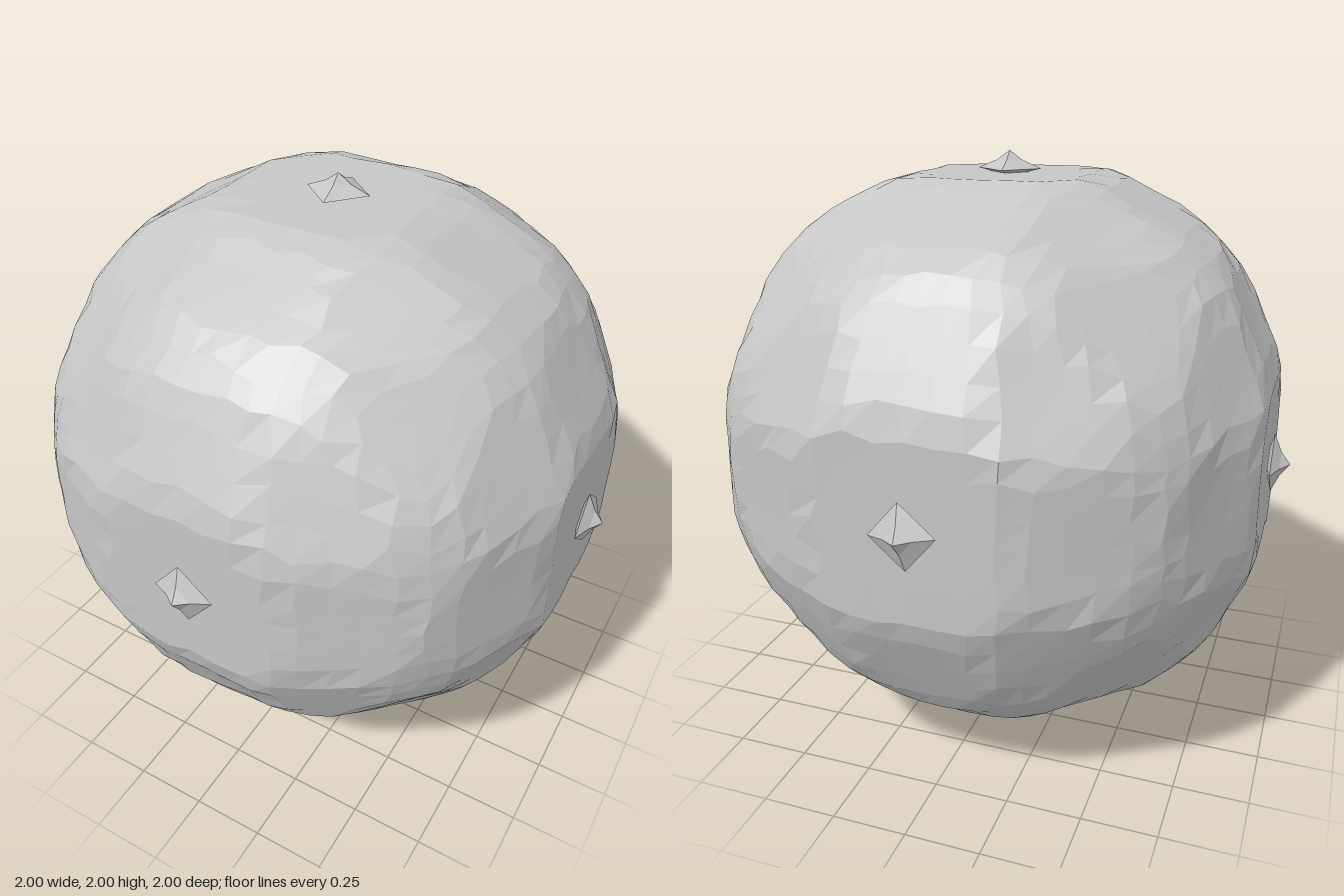
import * as THREE from 'three';

const stone = new THREE.MeshStandardMaterial({ color: 0xc6c6c6, flatShading: true });
stone.name = 'pale grey stone';

// Flat cuts that shape the boulder: six plateaus and the slopes round them.
// A direction is sorted by size first, so one eighth of the cuts serves all sides.
const cuts = [
  [1, 0, 0, 0.93],
  [0.89, 0.455, 0, 0.974],
  [0.83, 0.395, 0.395, 0.985],
  [0.577, 0.577, 0.577, 0.985],
];

function radius(d) {
  const [a, b, c] = [Math.abs(d.x), Math.abs(d.y), Math.abs(d.z)].sort((p, q) => q - p);
  let r = 1.012;
  for (const [x, y, z, dist] of cuts) r = Math.min(r, dist / (x * a + y * b + z * c));
  // small lumps, fading out on the plateaus
  const lumps = Math.sin(9 * d.x + 4 * d.y) + Math.sin(8 * d.y - 5 * d.z + 1) + Math.sin(10 * d.z + 6 * d.x + 2);
  return r + 0.004 * lumps * THREE.MathUtils.smoothstep(1 - a, 0.03, 0.15);
}

// Repeatable scatter from a position, equal on both sides of a seam
function scatter(x, y, z, seed) {
  const s = Math.sin(Math.round(x * 100) * 12.99 + Math.round(y * 100) * 78.23 + Math.round(z * 100) * 37.72 + seed) * 43758.55;
  return s - Math.floor(s) - 0.5;
}

function createBody() {
  const box = new THREE.BoxGeometry(2, 2, 2, 16, 16, 16);
  const pos = box.attributes.position;
  const d = new THREE.Vector3();
  for (let i = 0; i < pos.count; i++) {
    const [x, y, z] = [pos.getX(i), pos.getY(i), pos.getZ(i)];
    const even = (v) => Math.tan((v * Math.PI) / 4);
    d.set(even(x), even(y), even(z)).normalize();
    d.x += 0.035 * scatter(x, y, z, 1);
    d.y += 0.035 * scatter(x, y, z, 2);
    d.z += 0.035 * scatter(x, y, z, 3);
    d.normalize();
    d.multiplyScalar(radius(d));
    pos.setXYZ(i, d.x, d.y, d.z);
  }
  const geometry = box.toNonIndexed();
  geometry.computeVertexNormals();
  const body = new THREE.Mesh(geometry, stone);
  body.name = 'boulder';
  return body;
}

// Four-sided stud with a flared foot and a pointed tip
function createStudGeometry() {
  const profile = [[0, 0.915], [0.108, 0.942], [0.045, 0.968], [0, 1]].map(([r, h]) => new THREE.Vector2(r, h));
  const geometry = new THREE.LatheGeometry(profile, 4, 0.08).toNonIndexed();
  geometry.computeVertexNormals();
  return geometry;
}

export function createModel() {
  const model = new THREE.Group();
  model.name = 'studdedBoulder';
  const core = new THREE.Group();
  core.name = 'core';
  core.position.y = 1;
  core.add(createBody());

  const studGeometry = createStudGeometry();
  const up = new THREE.Vector3(0, 1, 0);
  const sides = {
    top: [0, 1, 0], bottom: [0, -1, 0], left: [1, 0, 0],
    right: [-1, 0, 0], front: [0, 0, 1], back: [0, 0, -1],
  };
  for (const [side, axis] of Object.entries(sides)) {
    const stud = new THREE.Mesh(studGeometry, stone);
    stud.name = side + 'Stud';
    stud.quaternion.setFromUnitVectors(up, new THREE.Vector3(...axis));
    core.add(stud);
  }
  model.add(core);
  return model;
}
